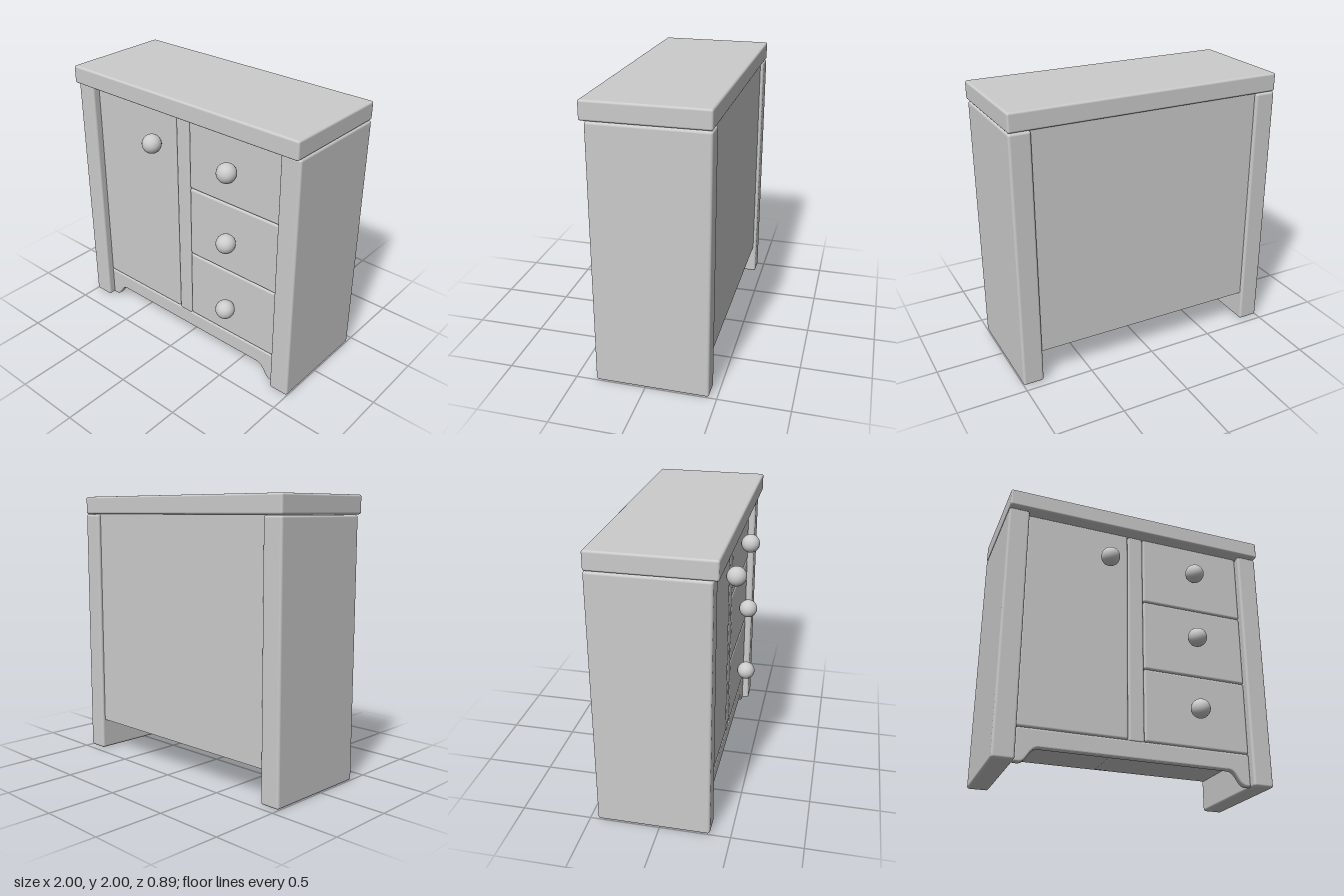
import * as THREE from 'three';
import { RoundedBoxGeometry } from 'three/addons/geometries/RoundedBoxGeometry.js';

export function createModel() {
  const group = new THREE.Group();
  const material = new THREE.MeshStandardMaterial({ color: 0xcccccc });

  const add = (name, geometry) => {
    const mesh = new THREE.Mesh(geometry, material);
    mesh.name = name;
    group.add(mesh);
    return mesh;
  };

  // Rounded board spanning the given minimum and maximum corners
  const board = (name, [x0, y0, z0], [x1, y1, z1], radius = 0.018) => {
    const mesh = add(name, new RoundedBoxGeometry(x1 - x0, y1 - y0, z1 - z0, 3, radius));
    mesh.position.set((x0 + x1) / 2, (y0 + y1) / 2, (z0 + z1) / 2);
  };

  const back = -0.445;
  const face = 0.305; // recessed front plane
  const bottom = 0.24;
  const top = 1.866;

  // Top slab and side panels
  board('tabletop', [-1, 1.868, back], [1, 2, 0.39], 0.015);
  board('rightSide', [-1, 0, back], [-0.848, top, 0.355]);
  board('leftSide', [0.848, 0, back], [1, top, 0.355]);

  // Plain carcass behind the fronts
  const carcass = add('carcass', new THREE.BoxGeometry(1.71, 1.64, 0.69));
  carcass.position.set(0, 0.232 + 0.82, -0.42 + 0.345);

  // Door, divider and three drawers
  board('door', [-0.85, bottom, 0.25], [-0.07, top, face]);
  board('divider', [-0.07, 0.228, -0.415], [0.05, top, face]);
  const drawerHeight = (top - bottom) / 3;
  for (let i = 0; i < 3; i++) {
    const y = bottom + i * drawerHeight;
    board('drawer', [0.05, y, 0.25], [0.848, y + drawerHeight, face]);
  }

  // Apron with bracket feet
  const b = 0.014;
  const s = new THREE.Shape();
  s.moveTo(-0.848 + b, bottom - b);
  s.lineTo(-0.848 + b, 0.005 + b);
  s.lineTo(-0.81, 0.005 + b);
  s.bezierCurveTo(-0.77, 0.025, -0.755, 0.11 + b, -0.685, 0.11 + b);
  s.lineTo(0.685, 0.11 + b);
  s.bezierCurveTo(0.755, 0.11 + b, 0.77, 0.025, 0.81, 0.005 + b);
  s.lineTo(0.848 - b, 0.005 + b);
  s.lineTo(0.848 - b, bottom - b);
  s.closePath();
  const apron = add('apron', new THREE.ExtrudeGeometry(s, {
    depth: 0.025, bevelThickness: b, bevelSize: b, bevelSegments: 4, curveSegments: 10,
  }));
  apron.position.z = face - b - 0.025;

  // Round knobs
  for (const [x, y] of [[-0.235, 1.605], [0.445, 1.605], [0.445, 1.065], [0.445, 0.508]]) {
    const knob = add('knob', new THREE.SphereGeometry(0.07, 24, 16));
    knob.position.set(x, y, 0.378);
  }

  return group;
}
